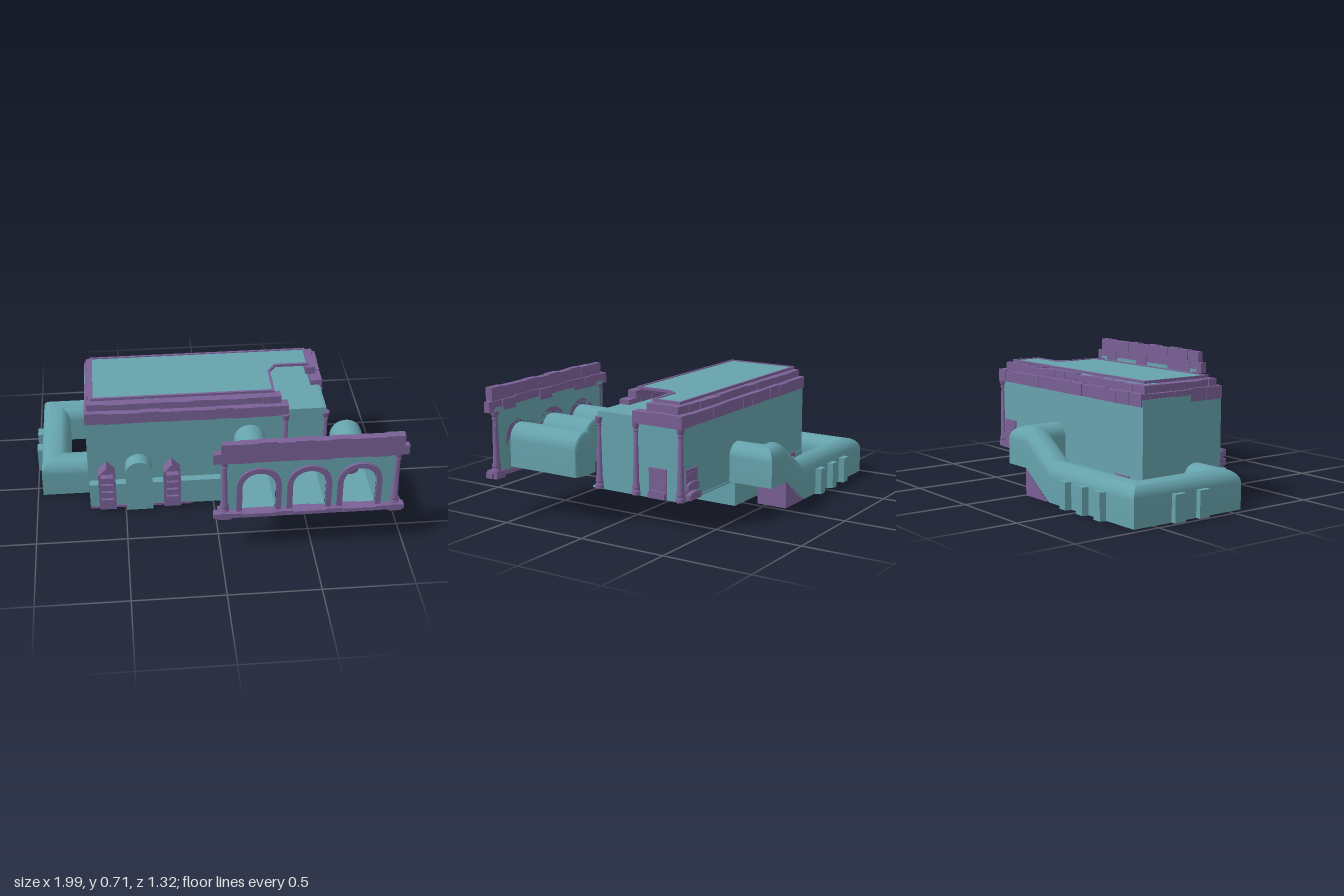
import * as THREE from 'three';
import { toCreasedNormals } from 'three/addons/utils/BufferGeometryUtils.js';

const teal = new THREE.MeshStandardMaterial({ color: 0x66a3ad, side: THREE.DoubleSide });
const purple = new THREE.MeshStandardMaterial({ color: 0x7a6196, side: THREE.DoubleSide });

let seed = 7;
const rand = () => (seed = (seed * 16807) % 2147483647) / 2147483647;

export function createModel() {
  const root = new THREE.Group();
  root.name = 'templeComplex';

  const add = (name, geo, mat, parent = root) => {
    const m = new THREE.Mesh(geo, mat);
    m.name = name;
    parent.add(m);
    return m;
  };
  // Box given by its min and max on each axis
  const box = (name, x0, x1, y0, y1, z0, z1, mat, parent) => {
    const m = add(name, new THREE.BoxGeometry(x1 - x0, y1 - y0, z1 - z0), mat, parent);
    m.position.set((x0 + x1) / 2, (y0 + y1) / 2, (z0 + z1) / 2);
    return m;
  };
  const poly = (pts) => new THREE.Shape(pts.map((p) => new THREE.Vector2(...p)));
  // Arched outline: half width r, from y0 up to the springing line, then a half ellipse of height rise
  const archPoints = (cx, r, y0, spring, rise = r, n = 20) => {
    const pts = [[cx - r, y0]];
    for (let i = 0; i <= n; i++) {
      const a = Math.PI * (1 - i / n);
      pts.push([cx + r * Math.cos(a), spring + rise * Math.sin(a)]);
    }
    pts.push([cx + r, y0]);
    return pts;
  };
  const extrude = (name, shape, z0, z1, mat, parent) => {
    const g = new THREE.ExtrudeGeometry(shape, { depth: z1 - z0, bevelEnabled: false });
    const m = add(name, toCreasedNormals(g, 0.6), mat, parent);
    m.position.z = z0;
    return m;
  };
  // Arch band around an opening
  const archRing = (name, cx, rIn, rOut, y0, spring, z0, z1, parent) => {
    const pts = [...archPoints(cx, rOut, y0, spring), ...archPoints(cx, rIn, y0, spring).reverse()];
    return extrude(name, poly(pts), z0, z1, purple, parent);
  };
  // Vaulted passage swept along a path with mitred plan corners
  const passage = (name, path, w, wall, rise) => {
    const prof = archPoints(0, w / 2, 0, wall, rise, 18);
    prof.push(prof[0]);
    const P = path.map((p) => new THREE.Vector3(...p));
    const side = (i) => {
      const d = P[i + 1].clone().sub(P[i]).setY(0).normalize();
      return new THREE.Vector3(d.z, 0, -d.x);
    };
    const pos = [], idx = [], n = prof.length;
    P.forEach((p, i) => {
      const a = side(Math.max(i - 1, 0)), b = side(Math.min(i, P.length - 2));
      const s = a.clone().add(b).divideScalar(1 + a.dot(b));
      prof.forEach(([u, v]) => pos.push(p.x + s.x * u, p.y + v, p.z + s.z * u));
    });
    for (let i = 0; i < P.length - 1; i++) {
      for (let j = 0; j < n - 1; j++) {
        const a = i * n + j, c = a + n;
        idx.push(a, c, a + 1, a + 1, c, c + 1);
      }
    }
    const g = new THREE.BufferGeometry();
    g.setAttribute('position', new THREE.Float32BufferAttribute(pos, 3));
    g.setIndex(idx);
    return add(name, toCreasedNormals(g, 0.6), teal);
  };
  // Weathered stone course: a row of slightly uneven blocks
  const course = (name, x0, x1, y0, y1, z0, z1) => {
    const g = new THREE.Group();
    g.name = name;
    root.add(g);
    const alongX = x1 - x0 > z1 - z0, len = alongX ? x1 - x0 : z1 - z0;
    const n = Math.max(2, Math.round(len / 0.1));
    for (let i = 0; i < n; i++) {
      const a = (len * i) / n, b = (len * (i + 1)) / n, j = rand() * 0.008, k = rand() * 0.008;
      if (alongX) box('stone', x0 + a, x0 + b, y0, y1 - j, z0 + k, z1 - k, purple, g);
      else box('stone', x0 + k, x1 - k, y0, y1 - j, z0 + a, z0 + b, purple, g);
    }
  };
  // Tapered column with base and capital
  const column = (name, x, y0, y1, z) => {
    const h = y1 - y0;
    const pts = [[0, 0], [0.027, 0], [0.027, 0.02], [0.022, 0.028], [0.025, 0.04], [0.019, 0.06], [0.013, h - 0.05],
      [0.018, h - 0.045], [0.014, h - 0.035], [0.022, h - 0.015], [0.022, h], [0, h]];
    const g = new THREE.LatheGeometry(pts.map((p) => new THREE.Vector2(...p)), 14);
    add(name, toCreasedNormals(g, 0.6), purple).position.set(x, y0, z);
  };
  // Wall shelf of three stacked blocks with curved tops, facing +z before turning
  const shelf = (x, y, z, turn, depth = 0.05) => {
    const g = new THREE.Group();
    g.name = 'wallShelf';
    g.position.set(x, y, z);
    g.rotation.y = turn;
    root.add(g);
    box('shelfBack', -0.055, 0.055, 0, 0.16, -0.01, 0.008, purple, g);
    for (let i = 0; i < 3; i++)
      extrude('shelfBlock', poly(archPoints(0, 0.052, i * 0.05, i * 0.05 + 0.028, 0.014, 8)), 0, depth - i * 0.012, purple, g);
  };

  // Main hall: hollow upper storey with passage openings, above a lower block
  const hallWall = (name, z, cx, r, top) => {
    const s = poly([[-0.7, 0.16], [0.63, 0.16], [0.63, 0.58], [-0.7, 0.58]]);
    s.holes.push(new THREE.Path(archPoints(cx, r, 0.165, top - r).map((p) => new THREE.Vector2(...p))));
    add(name, new THREE.ShapeGeometry(s), teal).position.z = z;
  };
  hallWall('hallFrontWall', 0.165, 0.205, 0.088, 0.49);
  hallWall('hallBackWall', -0.365, 0.065, 0.078, 0.37);
  for (const x of [-0.7, 0.627]) box('hallEndWall', x - 0.003, x + 0.003, 0.16, 0.58, -0.365, 0.165, teal);
  box('hallDeck', -0.7, 0.62, 0.57, 0.58, -0.365, 0.165, teal);
  box('upperFloor', -0.7, 0.62, 0.15, 0.16, -0.37, 0.21, teal);
  box('lowerHall', -0.7, 0.09, 0.004, 0.155, -0.37, 0.21, teal);
  box('lowerPlinth', -0.7, -0.12, 0, 0.014, 0.2, 0.216, purple);
  archRing('backDoorArch', 0.065, 0.078, 0.1, 0.16, 0.292, -0.36, -0.345);

  // Entablature: lower and upper stone courses, open at the front right corner
  course('frontCornice', -0.7, 0.42, 0.545, 0.615, 0.1, 0.177);
  course('frontUpperCourse', -0.69, 0.38, 0.61, 0.655, 0.085, 0.145);
  course('backCornice', -0.7, 0.64, 0.545, 0.615, -0.38, -0.31);
  course('backUpperCourse', -0.69, 0.62, 0.61, 0.655, -0.35, -0.3);
  course('leftCornice', -0.705, -0.64, 0.545, 0.615, -0.37, 0.17);
  course('leftUpperCourse', -0.69, -0.64, 0.61, 0.655, -0.34, 0.13);
  course('rightCornice', 0.57, 0.65, 0.545, 0.615, -0.38, -0.07);
  course('rightUpperCourse', 0.55, 0.62, 0.61, 0.655, -0.34, -0.14);

  // Roof sheet with a notched corner and thin rim
  const outline = [[-0.66, -0.32], [0.57, -0.32], [0.57, -0.16], [0.38, -0.16], [0.34, -0.1], [0.34, 0.1], [-0.66, 0.1]];
  const roof = add('roofSheet', new THREE.ExtrudeGeometry(poly(outline), { depth: 0.006, bevelEnabled: false }), teal);
  roof.rotation.x = Math.PI / 2;
  roof.position.y = 0.667;
  outline.forEach(([x, z], i) => {
    const [u, v] = outline[(i + 1) % outline.length];
    const rim = add('roofRim', new THREE.BoxGeometry(Math.hypot(u - x, v - z) + 0.012, 0.014, 0.013), purple);
    rim.position.set((x + u) / 2, 0.665, (z + v) / 2);
    rim.rotation.y = -Math.atan2(v - z, u - x);
  });

  // Hall columns
  for (const z of [0.155, -0.085, -0.362]) column('hallColumn', 0.628, 0.158, 0.55, z);
  column('hallColumn', 0.405, 0.158, 0.55, 0.165);

  // Shelves and bench on the hall walls
  shelf(0.63, 0.16, -0.225, Math.PI / 2, 0.025);
  shelf(0.54, 0.16, -0.365, Math.PI, 0.035);
  shelf(-0.54, 0.01, -0.37, Math.PI, 0.05);
  box('bench', 0.47, 0.57, 0.165, 0.22, 0.165, 0.19, purple);

  // Front doorway niche with a gabled cabinet on either side
  extrude('doorNiche', poly(archPoints(-0.42, 0.075, 0.004, 0.255)), 0.16, 0.25, teal);
  for (const x of [-0.6, -0.235]) {
    const g = new THREE.Group();
    g.name = 'gabledCabinet';
    g.position.x = x;
    root.add(g);
    extrude('cabinetBody', poly([[-0.048, 0.004], [0.048, 0.004], [0.048, 0.24], [0, 0.292], [-0.048, 0.24]]), 0.16, 0.235, purple, g);
    for (let i = 0; i < 4; i++) box('cabinetBlock', -0.034, 0.034, 0.06 + i * 0.05, 0.098 + i * 0.05, 0.23, 0.27, purple, g);
  }

  // Vaulted corridor wrapping the back left corner, rising to the hall's back door
  passage('backCorridor', [[-0.69, 0.004, -0.01], [-0.89, 0.004, -0.01], [-0.89, 0.004, -0.55], [-0.24, 0.004, -0.55],
    [-0.02, 0.155, -0.55], [0.065, 0.155, -0.55], [0.065, 0.155, -0.36]], 0.16, 0.14, 0.075);
  for (let i = 0; i < 10; i++) box('corridorStair', -0.22 + i * 0.02, -0.2 + i * 0.02, 0.004, 0.015 + i * 0.015, -0.63, -0.45, purple);
  // Corridor bays
  for (const x of [-0.71, -0.56, -0.41])
    extrude('backBay', poly([[x - 0.038, -0.62], [x + 0.038, -0.62], [x + 0.026, -0.662], [x - 0.026, -0.662]]), 0, 0.148, teal)
      .rotation.set(Math.PI / 2, 0, 0);
  for (const m of root.children.filter((c) => c.name === 'backBay')) m.position.y = 0.15;
  for (const z of [-0.36, -0.2]) box('leftBay', -1, -0.96, 0.004, 0.15, z - 0.033, z + 0.033, teal);

  // Arcade screen with three arches
  const arches = [[0.205, 0.15], [0.475, 0.31], [0.745, 0.17]];
  const screen = poly([[0, 0.24], [0.95, 0.24], [0.95, 0.6], [0, 0.6]]);
  arches.forEach(([x]) => screen.holes.push(new THREE.Path(archPoints(x, 0.09, 0.255, 0.405).map((p) => new THREE.Vector2(...p)))));
  extrude('arcadeWall', screen, 0.6, 0.61, teal);
  arches.forEach(([x, z], i) => {
    archRing('arcadeArch', x, 0.09, 0.12, 0.25, 0.405, 0.6, 0.625);
    passage('arcadeVault', [[x, 0.257, z], [x, 0.257, 0.605]], 0.176, 0.145, 0.088);
    box('archSill', x - 0.088, x + 0.088, 0.235, 0.257, 0.6, 0.66, purple);
    if (i === 0) return;
    // Shallow bulging end of the closed vaults
    const cap = extrude('vaultEnd', poly(archPoints(x, 0.088, 0.257, 0.402)), z - 0.005, z, teal);
    const bulge = add('vaultEndBulge', new THREE.CylinderGeometry(0.088, 0.088, 0.145, 20, 1, true, Math.PI / 2, Math.PI), teal);
    bulge.scale.z = 0.25;
    bulge.position.set(x, 0.33, cap.position.z);
    const dome = add('vaultEndDome', new THREE.SphereGeometry(0.088, 20, 8, 0, Math.PI * 2, 0, Math.PI / 2), teal);
    dome.scale.z = 0.25;
    dome.position.set(x, 0.402, cap.position.z);
  });
  box('arcadeBase', -0.04, 0.99, 0.222, 0.25, 0.6, 0.643, purple);
  for (const x of [0.02, 0.94]) {
    column('arcadeColumn', x, 0.245, 0.585, 0.61);
    box('columnPlinth', x - 0.035, x + 0.035, 0.218, 0.258, 0.58, 0.65, purple);
  }
  course('arcadeCornice', -0.04, 0.99, 0.58, 0.645, 0.595, 0.645);
  course('arcadeUpperCourse', 0, 0.96, 0.635, 0.712, 0.605, 0.653);

  // Stairs from the first vault down to the hall floor
  for (let i = 0; i < 8; i++) box('vaultStair', 0.095, 0.315, 0.16 + i * 0.011, 0.172 + i * 0.011, 0.165 + i * 0.019, 0.32, purple);

  // Tiered round fixture in the third vault
  for (let i = 0; i < 5; i++) {
    const r = 0.05 + 0.035 * Math.sin(((i + 1) * Math.PI) / 6);
    add('roundTier', new THREE.CylinderGeometry(r, r - 0.006, 0.026, 20), purple).position.set(0.745, 0.272 + i * 0.033, 0.3);
  }
  return root;
}
